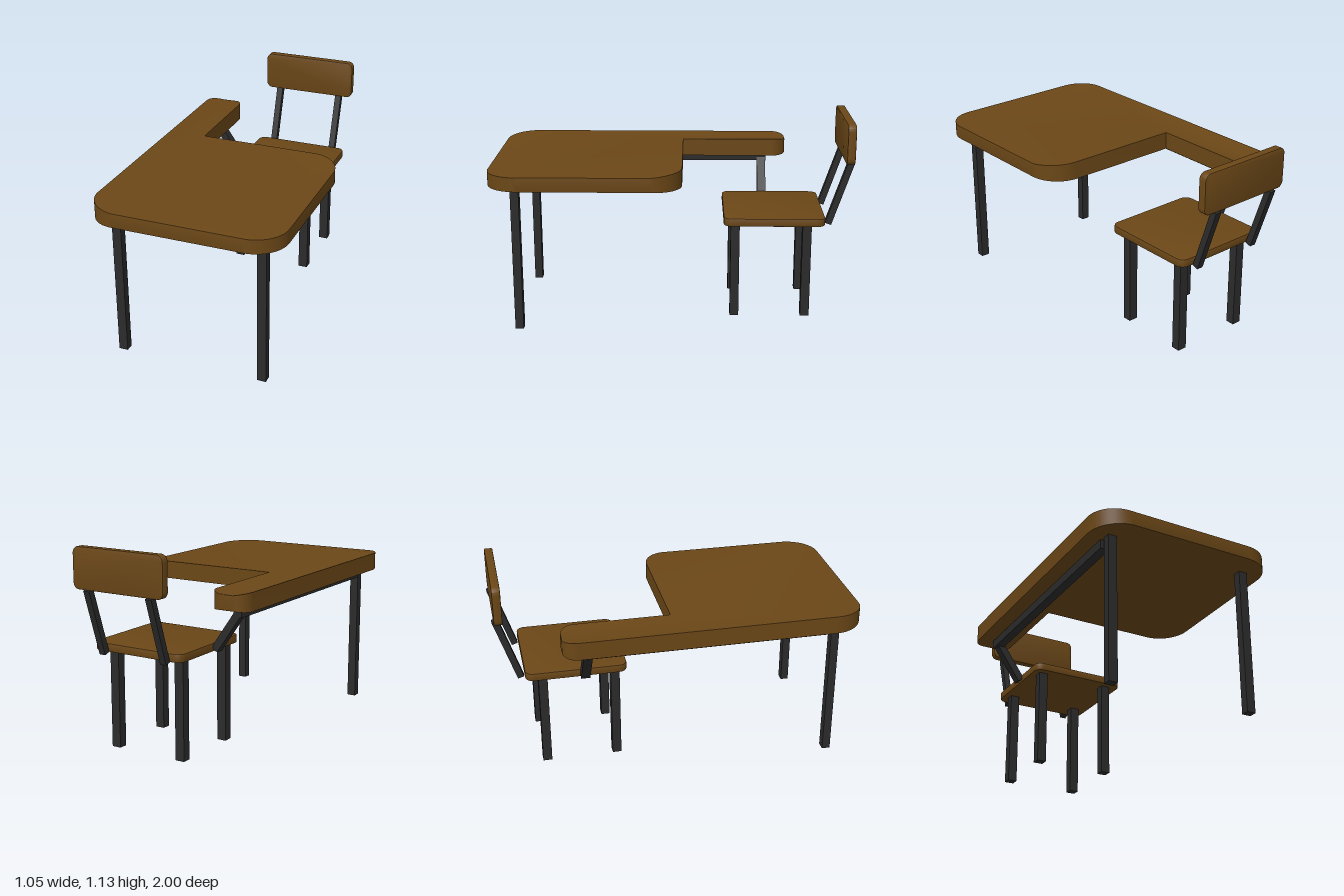
import * as THREE from 'three';
import { toCreasedNormals } from 'three/addons/utils/BufferGeometryUtils.js';

const wood = new THREE.MeshStandardMaterial({ color: 0x6b4717 });
const metal = new THREE.MeshStandardMaterial({ color: 0x2b2b2b });
const PI = Math.PI;
const clamp01 = (t) => THREE.MathUtils.clamp(t, 0, 1);

function addMesh(parent, name, geometry, material) {
  const mesh = new THREE.Mesh(geometry, material);
  mesh.name = name;
  parent.add(mesh);
  return mesh;
}

// Square bar between two points, w wide and d deep
function bar(parent, name, from, to, w, d) {
  const a = new THREE.Vector3(...from), b = new THREE.Vector3(...to);
  const mesh = addMesh(parent, name, new THREE.BoxGeometry(w, a.distanceTo(b), d), metal);
  mesh.position.copy(a).add(b).multiplyScalar(0.5);
  mesh.quaternion.setFromUnitVectors(new THREE.Vector3(0, 1, 0), b.sub(a).normalize());
}

// Rounded rectangular board with a fine softened edge, centred on the origin
function board(w, h, thickness, r) {
  const bevel = 0.005, x = w / 2 - r, y = h / 2 - r;
  const shape = new THREE.Shape();
  shape.absarc(x, -y, r, -PI / 2, 0);
  shape.absarc(x, y, r, 0, PI / 2);
  shape.absarc(-x, y, r, PI / 2, PI);
  shape.absarc(-x, -y, r, PI, 1.5 * PI);
  const geometry = new THREE.ExtrudeGeometry(shape, {
    depth: thickness - 2 * bevel, curveSegments: 6,
    bevelThickness: bevel, bevelSize: bevel, bevelOffset: -bevel, bevelSegments: 2,
  });
  geometry.translate(0, 0, bevel - thickness / 2);
  return toCreasedNormals(geometry, 0.6);
}

// L-shaped top whose rim thins toward the front, the right and the arm end
function deskTopGeometry() {
  const shape = new THREE.Shape();
  shape.absarc(0.35, -0.825, 0.175, -PI / 2, 0);
  shape.absarc(0.35, -0.125, 0.175, 0, PI / 2);
  shape.lineTo(-0.31, 0.05);
  shape.absarc(-0.39, 0.575, 0.08, 0, PI / 2);
  shape.absarc(-0.445, 0.575, 0.08, PI / 2, PI);
  shape.absarc(-0.35, -0.825, 0.175, PI, 1.5 * PI);
  const geometry = new THREE.ExtrudeGeometry(shape, { depth: 0.1, bevelEnabled: false, curveSegments: 14 });
  geometry.rotateX(-PI / 2).translate(0, 0.81, 0);
  const p = geometry.attributes.position;
  for (let i = 0; i < p.count; i++) {
    const x = p.getX(i), y = p.getY(i), z = p.getZ(i);
    const inset = z > -0.06
      ? Math.min(clamp01((x + 0.525) / 0.175), clamp01((z + 0.05) / 0.175))
      : clamp01(Math.min(x + 0.525, -0.31 - x) / 0.08);
    p.setY(i, y > 0.86 ? y - 0.014 * inset : y + 0.008 * inset);
  }
  return toCreasedNormals(geometry, 0.6);
}

export function createModel() {
  const model = new THREE.Group();
  model.name = 'chairDesk';

  // Desk: top, two front legs and the rail under the arm
  const desk = new THREE.Group();
  desk.name = 'desk';
  model.add(desk);
  addMesh(desk, 'deskTop', deskTopGeometry(), wood);
  for (const x of [-0.405, 0.4]) bar(desk, 'deskLeg', [x, 0, 0.85], [x, 0.815, 0.85], 0.05, 0.046);
  const rail = addMesh(desk, 'armRail', new THREE.BoxGeometry(0.05, 0.05, 1.355), metal);
  rail.position.set(-0.415, 0.785, 0.1325);

  // Strut joining the rail to the chair
  bar(model, 'connectingStrut', [-0.418, 0.785, -0.517], [-0.27, 0.57, -0.517], 0.042, 0.05);

  // Chair: seat, four legs, leaning supports and backrest
  const chair = new THREE.Group();
  chair.name = 'chair';
  model.add(chair);
  const seat = addMesh(chair, 'seat', board(0.56, 0.56, 0.045, 0.045), wood);
  seat.rotation.x = -PI / 2;
  seat.position.set(0.016, 0.582, -0.56);
  for (const x of [-0.203, 0.212])
    for (const z of [-0.345, -0.745]) bar(chair, 'chairLeg', [x, 0.012, z], [x, 0.565, z], 0.053, 0.05);
  for (const x of [-0.182, 0.206])
    bar(chair, 'backSupport', [x, 0.556, -0.86], [x, 0.912, -0.978], 0.037, 0.036);
  const back = addMesh(chair, 'backrest', board(0.56, 0.222, 0.046, 0.035), wood);
  back.position.set(0.016, 1.02, -0.963);

  return model;
}
